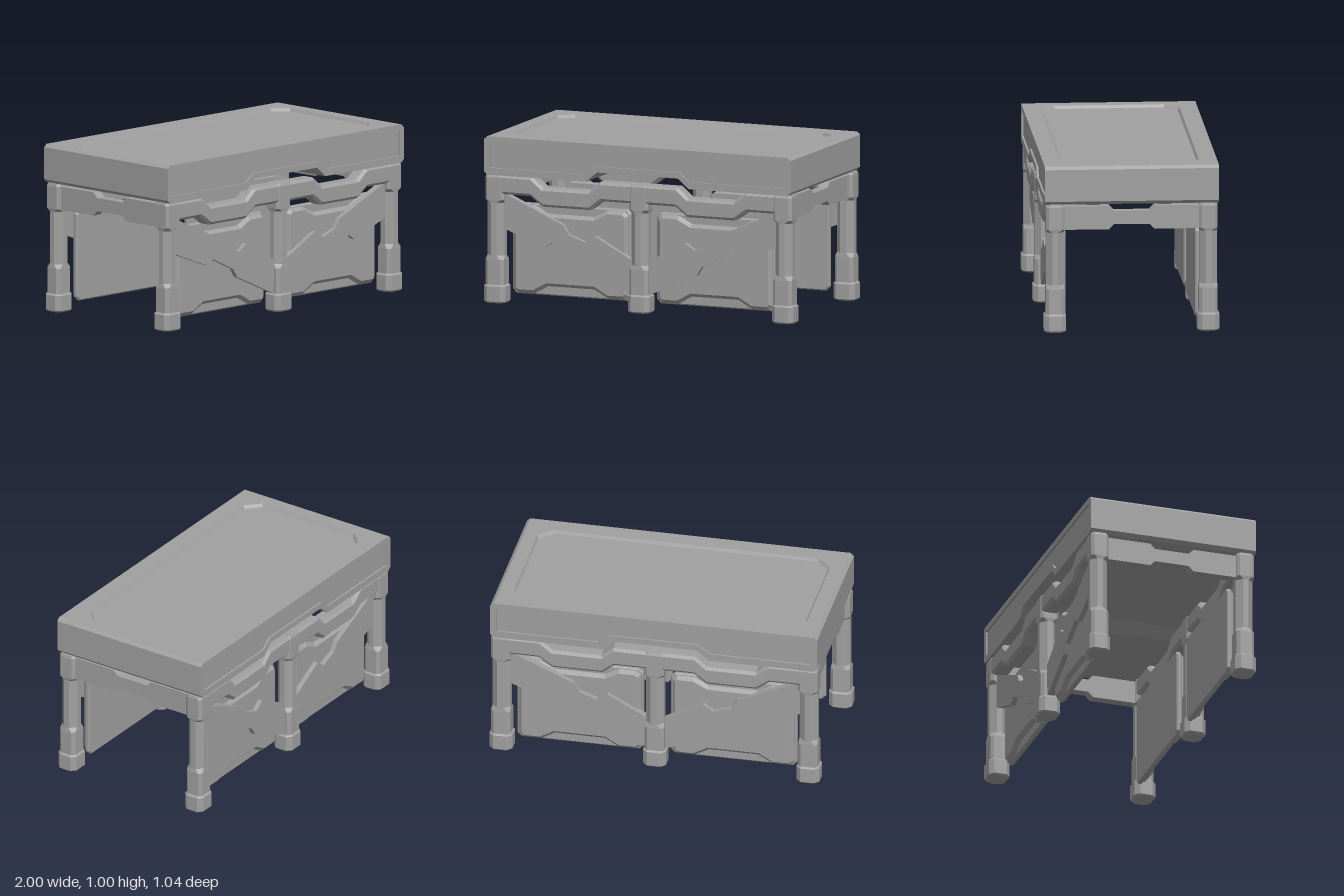
import * as THREE from 'three';

const grey = new THREE.MeshStandardMaterial({ color: 0xa0a0a0 });
grey.name = 'plain grey';

function part(name, geometry, parent, x = 0, y = 0, z = 0) {
  const mesh = new THREE.Mesh(geometry, grey);
  mesh.name = name;
  mesh.position.set(x, y, z);
  parent.add(mesh);
  return mesh;
}

const toShape = (pts) => new THREE.Shape(pts.map(([x, y]) => new THREE.Vector2(x, y)));

// Appends the mirror image (x -> -x) of a half outline, closing it symmetrically
const mirrored = (pts) => pts.concat(pts.map(([x, y]) => [-x, y]).reverse());

// Extrudes an outline from z0 to z1, with optional chamfers kept inside the outline
function slab(shape, z0, z1, bevel = 0) {
  return new THREE.ExtrudeGeometry(shape, {
    depth: z1 - z0 - 2 * bevel, bevelEnabled: bevel > 0, bevelThickness: bevel,
    bevelSize: bevel, bevelOffset: -bevel, bevelSegments: 1,
  }).translate(0, 0, z0 + bevel);
}

// Lofts chamfered rectangles given as [y, half width, half depth, chamfer]
function loft(sections) {
  const pos = [], index = [];
  for (const [y, w, d, c] of sections) {
    for (const [x, z] of [[w, d - c], [w, c - d], [w - c, -d], [c - w, -d],
      [-w, c - d], [-w, d - c], [c - w, d], [w - c, d]]) pos.push(x, y, z);
  }
  const last = (sections.length - 1) * 8;
  for (let r = 0; r < last; r += 8) {
    for (let i = 0; i < 8; i++) {
      const j = (i + 1) % 8;
      index.push(r + i, r + j, r + 8 + j, r + i, r + 8 + j, r + 8 + i);
    }
  }
  for (let i = 1; i < 7; i++) {
    index.push(0, i + 1, i, last, last + i, last + i + 1);
  }
  const g = new THREE.BufferGeometry();
  g.setAttribute('position', new THREE.Float32BufferAttribute(pos, 3));
  g.setIndex(index);
  const flat = g.toNonIndexed();
  flat.computeVertexNormals();
  return flat;
}

function buildTop() {
  const top = new THREE.Group();
  top.name = 'tableTop';
  const outline = mirrored([[0.26, 0.83], [0.33, 0.77], [0.97, 0.77], [0.99, 0.79], [0.99, 0.982]]);
  part('topBody', slab(toShape(outline), -0.505, 0.505), top);

  // Raised borders leave a shallow recess on the front and back
  const border = toShape(outline);
  border.holes.push(toShape(mirrored([[0.27, 0.865], [0.335, 0.812], [0.953, 0.812], [0.953, 0.965]])));
  part('frontBorder', slab(border, 0.505, 0.517), top);
  part('backBorder', slab(border, -0.517, -0.505), top);

  // Upper rim with a cut-corner recess; lower edges are spread to form slopes
  const rim = toShape([[-0.97, -0.517], [0.97, -0.517], [0.97, 0.517], [-0.97, 0.517]]);
  rim.holes.push(toShape(mirrored([[0.805, -0.41], [0.887, -0.33], [0.887, 0.33], [0.805, 0.41]])));
  const g = slab(rim, 0, 0.018).rotateX(-Math.PI / 2);
  const p = g.attributes.position;
  for (let i = 0; i < p.count; i++) {
    if (p.getY(i) > 0.009) continue;
    if (Math.abs(p.getX(i)) > 0.95) p.setX(i, Math.sign(p.getX(i)) * 0.99);
    else p.setXYZ(i, p.getX(i) * 0.988, 0, p.getZ(i) * 0.975);
  }
  g.computeVertexNormals();
  part('topRim', g, top, 0, 0.982, 0);
  return top;
}

function buildLongSide(name) {
  const side = new THREE.Group();
  side.name = name;

  // Three legs whose corner chamfers widen along the middle
  const shaft = loft([[0.1, 0.059, 0.055, 0.018], [0.26, 0.059, 0.055, 0.018],
    [0.285, 0.055, 0.053, 0.036], [0.6, 0.055, 0.053, 0.036],
    [0.62, 0.059, 0.055, 0.016], [0.755, 0.059, 0.055, 0.016], [0.77, 0.055, 0.047, 0.016]]);
  const foot = loft([[0, 0.06, 0.055, 0.025], [0.01, 0.07, 0.065, 0.027],
    [0.1, 0.07, 0.065, 0.027], [0.11, 0.06, 0.056, 0.022]]);
  for (const x of [-0.93, 0, 0.93]) {
    part('legShaft', shaft, side, x, 0, 0.455);
    part('foot', foot, side, x, 0, 0.455);
  }

  // Beam that dips between the legs
  const beam = mirrored([[0.06, 0.655], [0.24, 0.655], [0.315, 0.597], [0.62, 0.597], [0.7, 0.655],
    [0.98, 0.655], [0.985, 0.77], [0.69, 0.77], [0.615, 0.71], [0.32, 0.71], [0.25, 0.77]]);
  part('longBeam', slab(toShape(beam), 0.402, 0.507, 0.016), side);

  // Panel backing, notched raised face and stepped diagonal brace in each bay
  const cut = 0.025, w = 0.382;
  const backing = toShape(mirrored([[w - cut, 0.053], [w, 0.053 + cut], [w, 0.6 - cut], [w - cut, 0.6]]));
  const face = toShape(mirrored([[0.15, 0.11], [0.235, 0.062], [0.345, 0.062], [0.37, 0.087],
    [0.37, 0.565], [0.345, 0.59], [0.235, 0.59], [0.15, 0.545]]));
  const brace = [[0.067, 0.112], [0.366, 0.246], [0.4, 0.3], [0.57, 0.38], [0.618, 0.348],
    [0.88, 0.447], [0.88, 0.66], [0.495, 0.49], [0.46, 0.433], [0.35, 0.395], [0.29, 0.438],
    [0.04, 0.303]];
  for (const s of [-1, 1]) {
    part('panelBacking', slab(backing, 0.385, 0.418, 0.008), side, s * 0.465);
    part('panelFace', slab(face, 0.4, 0.445, 0.02), side, s * 0.465);
    part('diagonalBrace', slab(toShape(brace.map(([x, y]) => [s * x, y])), 0.43, 0.475), side);
  }
  return side;
}

export function createModel() {
  const table = new THREE.Group();
  table.name = 'table';
  table.add(buildTop());

  const front = buildLongSide('frontSide');
  const back = buildLongSide('backSide');
  back.rotation.y = Math.PI;
  table.add(front, back);

  // End rails, narrowed in the middle
  const rail = toShape(mirrored([[0.105, 0.645], [0.135, 0.615], [0.41, 0.615],
    [0.41, 0.755], [0.135, 0.755], [0.105, 0.725]]));
  const railGeometry = slab(rail, -0.03, 0.03).rotateY(Math.PI / 2);
  part('leftEndRail', railGeometry, table, 0.93);
  part('rightEndRail', railGeometry, table, -0.93);
  return table;
}
